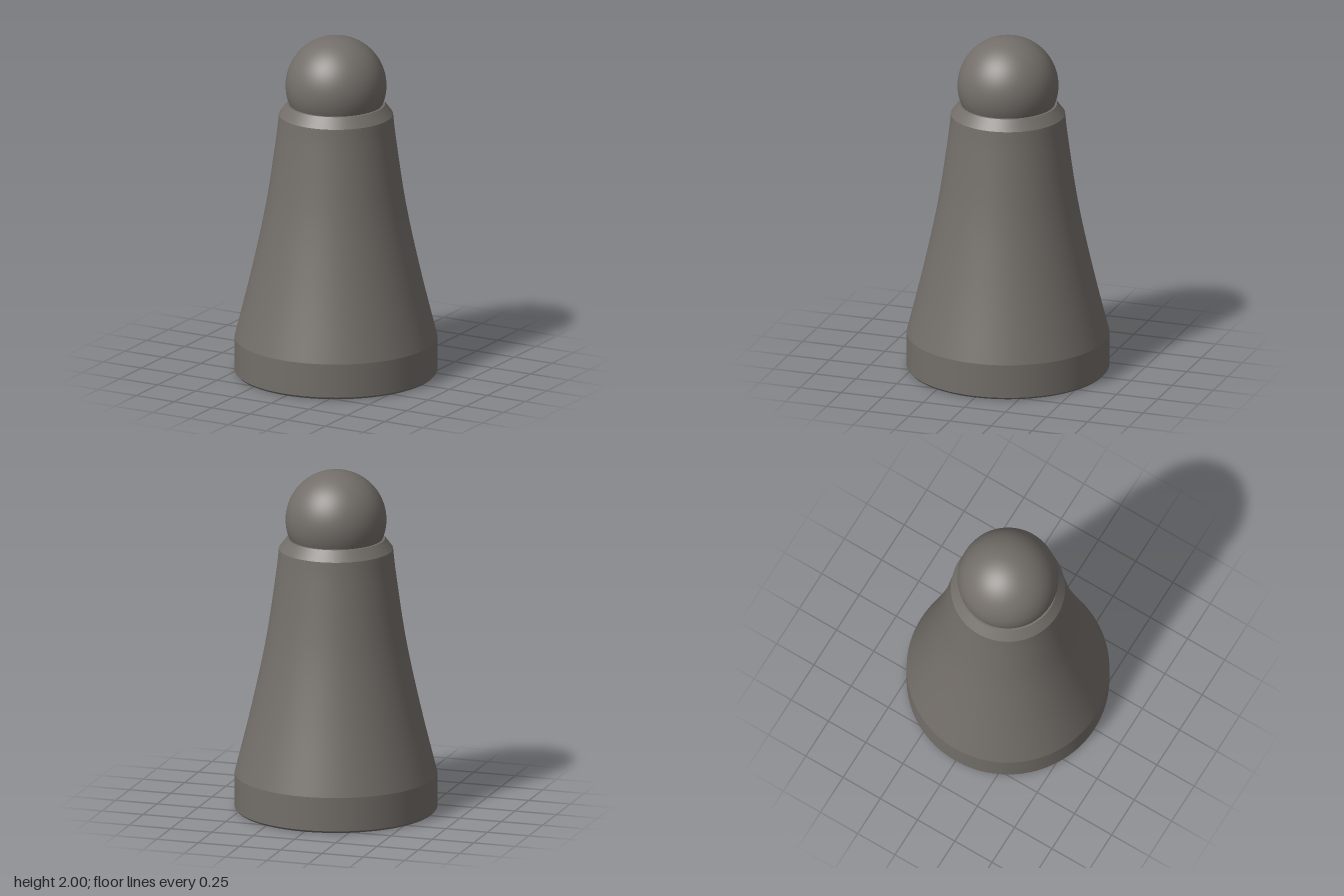
import * as THREE from 'three';

const SEGMENTS = 96;

export function createModel() {
  const group = new THREE.Group();
  const gray = new THREE.MeshStandardMaterial({ color: 0x736e69 });
  gray.name = 'warm gray';

  const add = (name, geometry) => {
    const mesh = new THREE.Mesh(geometry, gray);
    mesh.name = name;
    group.add(mesh);
    return mesh;
  };
  // Turned section; separate sections keep the edges between them crisp
  const turn = (name, points) =>
    add(name, new THREE.LatheGeometry(points.map(([r, y]) => new THREE.Vector2(r, y)), SEGMENTS));
  // Smooth curve through a few radius/height points
  const smooth = (points) =>
    new THREE.SplineCurve(points.map(([r, y]) => new THREE.Vector2(r, y)))
      .getPoints(24).map((p) => [p.x, p.y]);

  // Thin lower rim, small bevel and straight base band
  turn('bottomRim', [[0.562, 0], [0.571, 0]]);
  turn('baseBevel', [[0.571, 0], [0.582, 0.012]]);
  turn('baseBand', [[0.582, 0.012], [0.582, 0.21]]);

  // Flared body with a gently concave outline
  turn('body', smooth([[0.582, 0.21], [0.486, 0.6], [0.402, 1], [0.346, 1.38], [0.328, 1.54]]));

  // Sloped collar and its flat top
  turn('collar', [[0.328, 1.54], [0.282, 1.602]]);
  turn('collarTop', [[0.282, 1.602], [0.2, 1.602]]);

  // Hollow inside, running down so that it faces inward
  turn('innerWall', smooth([[0.3, 1.54], [0.318, 1.38], [0.374, 1], [0.458, 0.6], [0.542, 0.21], [0.562, 0]]));
  turn('innerCeiling', [[0, 1.54], [0.3, 1.54]]);

  // Round head
  add('head', new THREE.SphereGeometry(0.29, 64, 40)).position.y = 1.71;

  return group;
}
